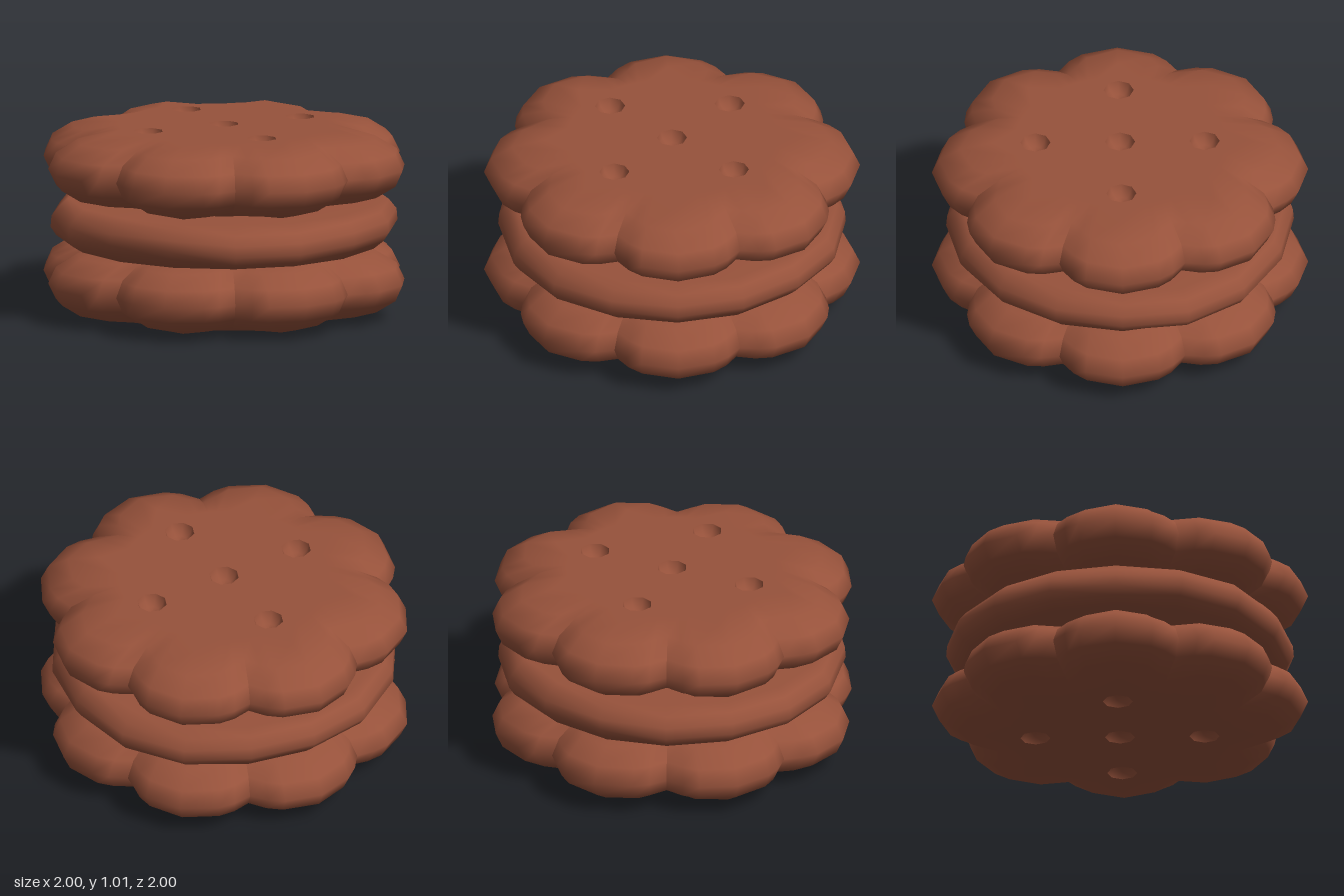
import * as THREE from 'three';

const RAD = Math.PI / 180;
const HALF = 0.196;                                   // half thickness of a biscuit
const PHI = [-80, -52, -26, 0, 26, 52, 80];           // rounding of the rim
const ANG = [-22.5, -17, -11.8, 0, 11.8, 17, 22.5];   // outline of one scallop

// Rim radius: eight round lobes merged with a rounded disc
function rim(angle, phi) {
  const r = 0.385 * Math.cos(phi), c = 0.616, s = c * Math.sin(angle);
  const body = 0.51 + 0.3 * Math.cos(phi);
  const lobe = r > Math.abs(s) ? c * Math.cos(angle) + Math.sqrt(r * r - s * s) : 0;
  return { radius: Math.max(body, lobe), onBody: body >= lobe };
}

// One scallop wedge, lofted from bottom to top
function scallopGeometry() {
  const pos = [], idx = [], n = ANG.length;
  PHI.forEach((p, i) => ANG.forEach((a, j) => {
    const { radius } = rim(a * RAD, p * RAD);
    const y = Math.abs(p) === 80 ? Math.sign(p) * HALF : HALF * Math.sin(p * RAD);
    pos.push(radius * Math.cos(a * RAD), y, -radius * Math.sin(a * RAD));
    if (i < PHI.length - 1 && j < n - 1) {
      const k = i * n + j;
      idx.push(k, k + 1, k + n + 1, k, k + n + 1, k + n);
    }
  }));
  const g = new THREE.BufferGeometry();
  g.setAttribute('position', new THREE.Float32BufferAttribute(pos, 3));
  g.setIndex(idx);
  g.computeVertexNormals();
  // Blend the rim into the flat faces and into its neighbours where no crease shows
  const normal = g.attributes.normal, v = new THREE.Vector3(), t = new THREE.Vector3();
  PHI.forEach((p, i) => ANG.forEach((a, j) => {
    const k = i * n + j;
    v.fromBufferAttribute(normal, k);
    if (Math.abs(p) === 80) v.set(0, Math.sign(p), 0);
    else if ((j === 0 || j === n - 1) && rim(a * RAD, p * RAD).onBody) {
      t.set(Math.sin(a * RAD), 0, Math.cos(a * RAD));
      v.addScaledVector(t, -v.dot(t)).normalize();
    }
    normal.setXYZ(k, v.x, v.y, v.z);
  }));
  return g;
}

const HOLES = [[0, 0], [0.45, 0], [-0.45, 0], [0, 0.45], [0, -0.45]];
const HOLE_R = 0.08;

// Flat face with five octagonal openings
function faceGeometry() {
  const pts = [];
  for (let l = 0; l < 8; l++) {
    ANG.slice(0, -1).forEach(a => {
      const r = rim(a * RAD, 80 * RAD).radius, t = (a + l * 45) * RAD;
      pts.push(new THREE.Vector2(r * Math.cos(t), r * Math.sin(t)));
    });
  }
  const shape = new THREE.Shape(pts);
  HOLES.forEach(([x, y]) => {
    const ring = [];
    for (let i = 0; i < 8; i++) {
      const t = -i * Math.PI / 4;
      ring.push(new THREE.Vector2(x + HOLE_R * Math.cos(t), y + HOLE_R * Math.sin(t)));
    }
    shape.holes.push(new THREE.Path(ring));
  });
  return new THREE.ShapeGeometry(shape).rotateX(-Math.PI / 2);
}

// Rounded filling disc with a slightly uneven edge
function fillingGeometry() {
  const profile = [[0, -0.117], [0.84, -0.117], [0.895, -0.075], [0.925, -0.03],
    [0.92, 0.03], [0.88, 0.08], [0.83, 0.117], [0, 0.117]];
  const g = new THREE.LatheGeometry(profile.map(p => new THREE.Vector2(...p)), 16);
  const p = g.attributes.position;
  for (let i = 0; i < p.count; i++) {
    const y = p.getY(i);
    if (Math.abs(y) > 0.1) continue;
    const a = Math.atan2(p.getZ(i), p.getX(i));
    p.setY(i, y + 0.012 * Math.sin(3 * a) + 0.008 * Math.cos(5 * a));
  }
  return g;
}

export function createModel() {
  const model = new THREE.Group();
  model.name = 'sandwichBiscuit';
  const brown = new THREE.MeshStandardMaterial({ color: 0x97523b, side: THREE.DoubleSide });
  brown.name = 'chocolate brown';

  const scallop = scallopGeometry();
  const face = faceGeometry();
  const dimple = new THREE.LatheGeometry(
    [[HOLE_R, 0], [0.068, -0.035], [0.04, -0.058], [0, -0.065]].map(p => new THREE.Vector2(...p)), 8);

  const add = (parent, geometry, name) => {
    const mesh = new THREE.Mesh(geometry, brown);
    mesh.name = name;
    parent.add(mesh);
    return mesh;
  };

  // Two identical biscuits
  const biscuit = (name, y) => {
    const group = new THREE.Group();
    group.name = name;
    group.position.y = y;
    for (let i = 0; i < 8; i++) add(group, scallop, 'scallop').rotation.y = i * Math.PI / 4;
    for (const turn of [0, Math.PI]) {
      const side = new THREE.Group();
      side.name = turn ? 'underside' : 'topside';
      side.rotation.x = turn;
      add(side, face, 'flatFace').position.y = HALF;
      HOLES.forEach(([x, z]) => add(side, dimple, 'dimple').position.set(x, HALF, z));
      group.add(side);
    }
    model.add(group);
  };
  biscuit('bottomBiscuit', HALF);
  biscuit('topBiscuit', 0.816);

  // Filling between them
  add(model, fillingGeometry(), 'filling').position.y = 0.504;
  return model;
}
